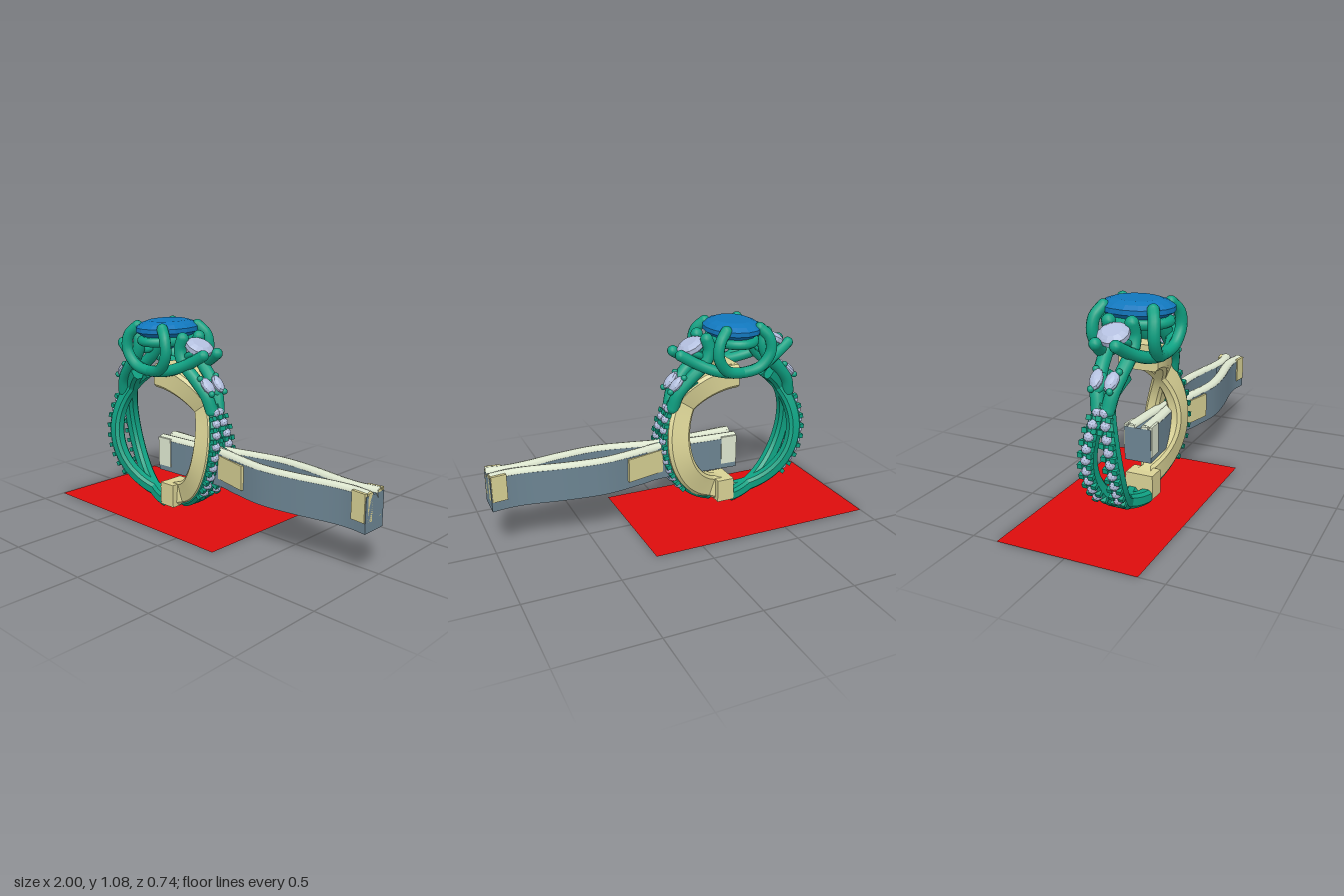
import * as THREE from 'three';
import { toCreasedNormals } from 'three/addons/utils/BufferGeometryUtils.js';

const mat = (color, opts = {}) => new THREE.MeshStandardMaterial({ color, ...opts });
const green = mat(0x0fa283), cream = mat(0xd9d295), pale = mat(0xdde6cf), slate = mat(0x6c8492);
const blue = mat(0x1177bd, { flatShading: true }), lilac = mat(0xb2bedd, { flatShading: true });
const red = mat(0xdd0c0c, { side: THREE.DoubleSide });
const V = (x, y, z) => new THREE.Vector3(x, y, z);
const DEG = Math.PI / 180, CY = 0.44, CZ = 0.065;

function add(parent, name, geometry, material, x = 0, y = 0, z = 0) {
  const m = new THREE.Mesh(geometry, material);
  m.name = name;
  m.position.set(x, y, z);
  parent.add(m);
  return m;
}

// Round wire through points with domed ends
function wire(parent, name, pts, r, material = green) {
  const v = pts.map(p => V(...p));
  add(parent, name, new THREE.TubeGeometry(new THREE.CatmullRomCurve3(v), 40, r, 12), material);
  for (const p of [v[0], v[v.length - 1]])
    add(parent, name + 'End', new THREE.SphereGeometry(r, 12, 8), material, p.x, p.y, p.z);
}

// Twist offset in z; the angle is measured from the +x side and mirrored for the -x side
const twist = (deg, amp) => {
  const a = deg > 90 ? 180 - deg : deg;
  return amp * Math.sin(Math.PI * (35 - a) / 105);
};

// Strand swept around the finger from a chamfered section
function strand(parent, name, amp, r0, r1, w, from, to, material) {
  const h = w / 2, c = 0.016, n = 48;
  const sec = [[r0, -h + c], [r0 + c, -h], [r1 - c, -h], [r1, -h + c],
    [r1, h - c], [r1 - c, h], [r0 + c, h], [r0, h - c]];
  const pos = [], idx = [], k = sec.length;
  for (let i = 0; i <= n; i++) {
    const deg = from + (to - from) * i / n, a = deg * DEG;
    for (const [r, z] of sec)
      pos.push(r * Math.cos(a), CY + r * Math.sin(a), z + twist(deg, amp));
  }
  for (let i = 0; i < n; i++) for (let j = 0; j < k; j++) {
    const q = (j + 1) % k, a = i * k + j, b = i * k + q, d = a + k, e = b + k;
    idx.push(a, d, e, a, e, b);
  }
  for (let j = 1; j < k - 1; j++) {
    idx.push(0, j, j + 1);
    idx.push(n * k, n * k + j + 1, n * k + j);
  }
  const g = new THREE.BufferGeometry();
  g.setAttribute('position', new THREE.Float32BufferAttribute(pos, 3));
  g.setIndex(idx);
  add(parent, name, toCreasedNormals(g, 0.6), material);
}

// Faceted stone: point, girdle, crown and table, of girdle radius 1
function stoneGeometry(depth, crown, sides) {
  const p = [[0, -depth], [0.55, -depth * 0.5], [1, -0.012], [1, 0.012], [0.84, crown * 0.7], [0.62, crown], [0, crown]];
  return new THREE.LatheGeometry(p.map(a => new THREE.Vector2(...a)), sides);
}

// Row of small stones with paired beads on the outside of a strand
function pave(parent, amp, mirrored) {
  for (let i = 0; i <= 18; i++) {
    const a = -42 + i * 4, deg = mirrored ? 180 - a : a, s = Math.sin(deg * DEG), c = Math.cos(deg * DEG);
    const z = twist(deg, amp);
    if (i % 2) {
      const m = add(parent, 'smallStone', new THREE.IcosahedronGeometry(0.025, 1), lilac, 0.42 * c, CY + 0.42 * s, z);
      m.rotation.z = deg * DEG;
    } else for (const k of [-1, 1]) {
      const m = add(parent, 'bead', new THREE.BoxGeometry(0.026, 0.024, 0.026), green, 0.424 * c, CY + 0.424 * s, z + k * 0.024);
      m.rotation.z = deg * DEG;
    }
  }
}

function buildRing() {
  const ring = new THREE.Group();
  ring.name = 'ring';
  ring.position.set(-0.37, 0, CZ);

  // Green shank strands, and the thicker cream half inside on the +x side
  for (const k of [-1, 1]) {
    strand(ring, 'shankStrand', k * 0.068, 0.352, 0.425, 0.068, 125, 270, green);
    pave(ring, k * 0.068, true);
    const amp = k > 0 ? 0.07 : -0.045;
    strand(ring, 'shankStrand', amp, 0.362, 0.425, 0.062, -72, 55, green);
    pave(ring, amp, false);
    strand(ring, 'creamHalfStrand', k * 0.07, 0.28, 0.41, 0.075, -90, 90, cream);
  }
  add(ring, 'creamBottomEnd', new THREE.BoxGeometry(0.1, 0.13, 0.15), cream, 0.05, 0.1, 0);
  add(ring, 'creamTopEnd', new THREE.BoxGeometry(0.1, 0.13, 0.15), cream, 0.05, 0.785, 0);

  // Centre stone and the oval rail under it
  const centre = add(ring, 'centreStone', stoneGeometry(0.13, 0.045, 16), blue, 0, 1.035, 0);
  centre.scale.set(0.152, 1, 0.192);
  const rail = add(ring, 'stoneRail', new THREE.TorusGeometry(1, 0.17, 10, 40), green, 0, 0.975, 0);
  rail.rotation.x = Math.PI / 2;
  rail.scale.set(0.115, 0.162, 0.15);

  for (const sx of [-1, 1]) {
    for (const sz of [-1, 1]) {
      // Basket wire from a centre prong, under the stone, to the opposite side prong
      wire(ring, 'basketWire', [[0.1, 1.05, 0.13], [0.145, 1.0, 0.155], [0.155, 0.92, 0.16], [0.1, 0.84, 0.15],
        [0, 0.815, 0.135], [-0.13, 0.83, 0.115], [-0.24, 0.875, 0.075], [-0.325, 0.925, 0.052]]
        .map(([x, y, z]) => [x * sx, y, z * sz]), 0.03);
      // Shoulder rising into the inner side prong
      wire(ring, 'shoulder', [[0.36, 0.63, 0.025], [0.335, 0.71, 0.04], [0.27, 0.79, 0.055], [0.19, 0.87, 0.065],
        [0.165, 0.94, 0.064], [0.18, 1.0, 0.06]]
        .map(([x, y, z]) => [x * sx, y, z * sz]), 0.034);
      // Shoulder stone with its tiny prongs
      const seat = new THREE.Group();
      seat.name = 'shoulderSetting';
      seat.position.set(sx * 0.335, 0.758, sz * 0.038);
      seat.rotation.z = -sx * 45 * DEG;
      seat.rotation.x = sz * 0.15;
      const stone = add(seat, 'shoulderStone', new THREE.SphereGeometry(1, 10, 6), lilac, 0, 0.012, 0);
      stone.scale.set(0.056, 0.025, 0.033);
      const cup = add(seat, 'shoulderCup', new THREE.SphereGeometry(1, 14, 8), green, 0, -0.018, 0);
      cup.scale.set(0.06, 0.028, 0.036);
      for (const e of [-1, 1])
        add(seat, 'tinyProng', new THREE.SphereGeometry(0.017, 10, 8), green, e * 0.052, 0.015, sz * 0.014);
      ring.add(seat);
    }
    // Round side stone
    const side = add(ring, 'sideStone', stoneGeometry(0.08, 0.03, 12), lilac, sx * 0.245, 0.955, 0);
    side.scale.set(0.075, 1, 0.078);
    side.rotation.z = -sx * 0.48;
    const cup = add(ring, 'sideStoneRail', new THREE.TorusGeometry(0.06, 0.018, 8, 28), green, sx * 0.228, 0.92, 0);
    cup.rotation.set(Math.PI / 2, sx * 0.48, 0);
  }
  return ring;
}

// Straight twisted band: [x, strand centre offset in z]
const bandPath = [[-0.38, 0.042], [-0.2, 0.034], [0.06, 0.022], [0.2, 0.05], [0.4, 0.083], [0.6, 0.068], [0.8, 0.034], [0.9, 0.028], [1, 0.042]];

function buildBand() {
  const band = new THREE.Group();
  band.name = 'flatBand';
  band.position.z = CZ;
  const curve = new THREE.SplineCurve(bandPath.map(p => new THREE.Vector2(...p)));
  const edge = curve.getPoints(56);
  const shape = new THREE.Shape([
    ...edge.map(p => new THREE.Vector2(p.x, -p.y - 0.03)),
    ...edge.map(p => new THREE.Vector2(p.x, p.y + 0.03)).reverse()]);
  const inner = edge.filter(p => p.x > 0.12 && p.x < 0.76 && p.y > 0.031);
  shape.holes.push(new THREE.Path([
    ...inner.map(p => new THREE.Vector2(p.x, p.y - 0.03)),
    ...inner.map(p => new THREE.Vector2(p.x, 0.03 - p.y)).reverse()]));
  const body = new THREE.ExtrudeGeometry(shape, { depth: 0.178, bevelEnabled: false });
  body.rotateX(-Math.PI / 2);
  add(band, 'bandBody', toCreasedNormals(body, 0.5), slate, 0, 0.24, 0);

  for (const k of [-1, 1]) {
    // Rounded strand along the top
    const path = new THREE.CatmullRomCurve3(bandPath.map(([x, z]) => V(x, 0, k * z)));
    const top = add(band, 'bandTopStrand', new THREE.TubeGeometry(path, 70, 0.03, 10), pale, 0, 0.415, 0);
    top.scale.y = 0.85;
    // Plates on the sides
    const plate = (name, x, y, z, l, h, turn, m) => {
      add(band, name, new THREE.BoxGeometry(l, h, 0.016), m, x, y, k * z).rotation.y = -k * turn;
    };
    plate('creamPlate', 0.17, 0.345, 0.073, 0.225, 0.13, 0.25, cream);
    plate('creamEndPlate', 0.957, 0.363, 0.064, 0.08, 0.14, 0.13, cream);
    plate('paleEndPlate', -0.333, 0.35, 0.067, 0.09, 0.16, -0.05, pale);
    // Stepped ends
    add(band, 'endStep', new THREE.BoxGeometry(0.02, 0.14, 0.035), cream, 0.99, 0.36, k * 0.036);
    add(band, 'endStep', new THREE.BoxGeometry(0.02, 0.16, 0.035), pale, -0.37, 0.35, k * 0.036);
  }
  return band;
}

export function createModel() {
  const model = new THREE.Group();
  model.name = 'ringAndBand';
  model.add(buildRing(), buildBand());
  // Flat red sheet below
  const sheet = add(model, 'sheet', new THREE.PlaneGeometry(1.26, 0.735), red, -0.37, 0, 0);
  sheet.rotation.x = -Math.PI / 2;
  return model;
}
